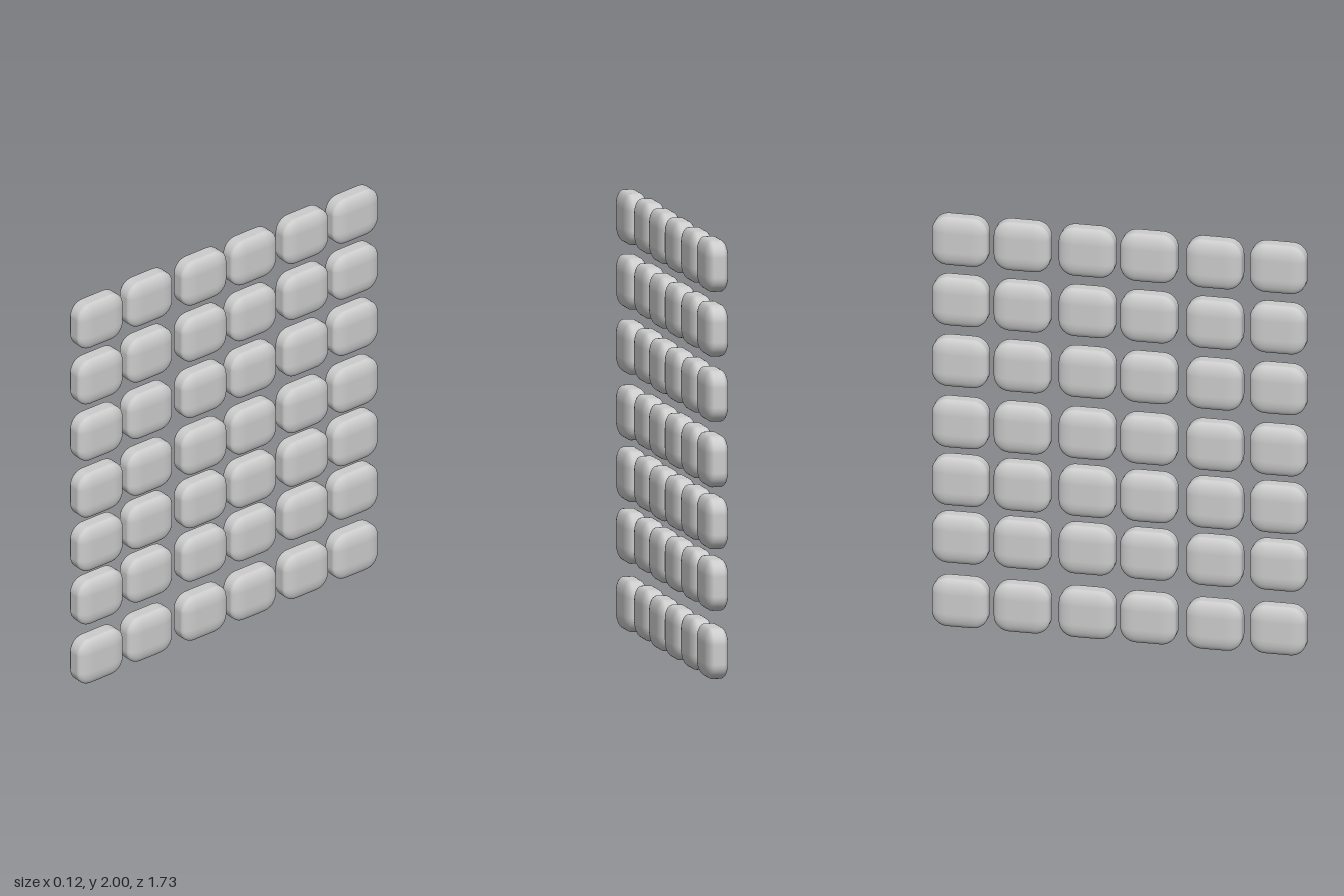
import * as THREE from 'three';
import { RoundedBoxGeometry } from 'three/addons/geometries/RoundedBoxGeometry.js';

// Slightly uneven spacing of the tile grid
const ROWS = [0.117, 0.428, 0.709, 0.991, 1.29, 1.587, 1.882];
const COLUMNS = [
  { z: 0.734, x: 0.004 },
  { z: 0.441, x: -0.006 },
  { z: 0.136, x: 0.002 },
  { z: -0.149, x: 0.002 },
  { z: -0.449, x: 0.002 },
  { z: -0.735, x: 0.002 },
];

// Pillow-shaped tile: a rounded box flattened in x, so its rim bevel is elliptical
function tileGeometry() {
  const flatten = 0.45;
  const geometry = new RoundedBoxGeometry(0.106 / flatten, 0.235, 0.26, 5, 0.072);
  geometry.scale(flatten, 1, 1);
  return geometry;
}

export function createModel() {
  const model = new THREE.Group();
  model.name = 'tileWall';
  const material = new THREE.MeshStandardMaterial({ color: 0xcccccc });
  const geometry = tileGeometry();

  // One group per row, bottom to top
  ROWS.forEach((y, r) => {
    const row = new THREE.Group();
    row.name = `tileRow${r + 1}`;
    row.position.y = y;
    COLUMNS.forEach(({ x, z }, c) => {
      const tile = new THREE.Mesh(geometry, material);
      tile.name = `tile${r + 1}_${c + 1}`;
      tile.position.set(x, 0, z);
      row.add(tile);
    });
    model.add(row);
  });
  return model;
}
